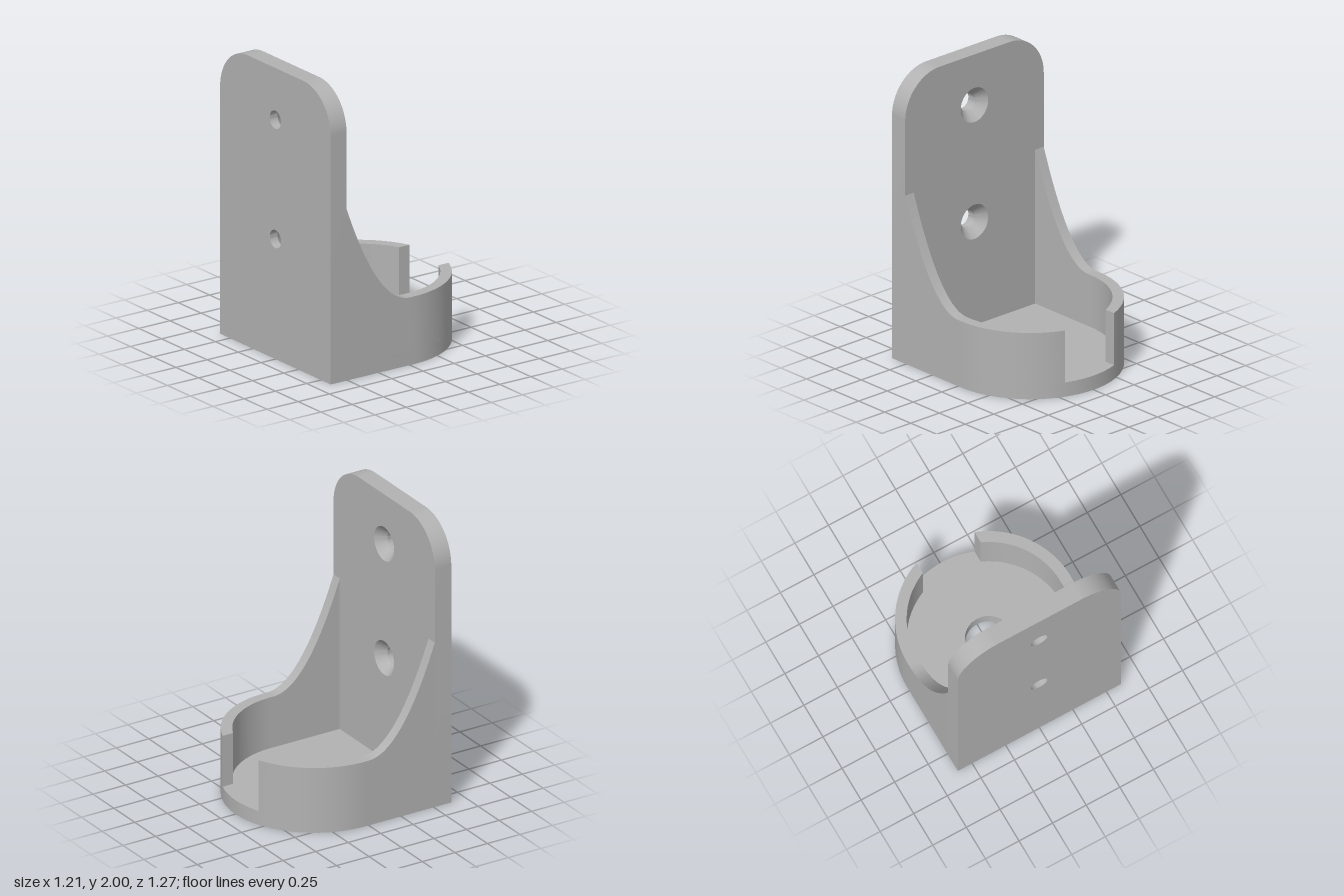
import * as THREE from 'three';
import { toCreasedNormals } from 'three/addons/utils/BufferGeometryUtils.js';

const R = 0.607;          // outer half width and front arc radius
const RI = 0.532;         // inner wall radius
const CZ = -0.028;        // arc centre in z
const PLATE_Z = 0.508;    // inner face of the mounting plate
const PLATE_T = 0.127;    // plate thickness
const FLOOR = 0.1;        // floor thickness
const RIM = 0.465;        // height of the cup wall
const GAP = 0.215;        // half width of the slot in the cup
const SINK = 0.12;        // countersink radius
const BORE = 0.062;       // screw hole radius
const HOLES = [0.825, 1.645];

function circleHole(x, y, r) {
  const p = new THREE.Path();
  p.absarc(x, y, r, 0, Math.PI * 2, true);
  return p;
}

// Upright plate with rounded top corners
function plateGeometry() {
  const c = 0.3, s = new THREE.Shape();
  s.moveTo(-R, 0);
  s.lineTo(R, 0);
  s.lineTo(R, 2 - c);
  s.absarc(R - c, 2 - c, c, 0, Math.PI / 2, false);
  s.lineTo(-R + c, 2);
  s.absarc(-R + c, 2 - c, c, Math.PI / 2, Math.PI, false);
  s.lineTo(-R, 0);
  for (const y of HOLES) s.holes.push(circleHole(0, y, SINK));
  const g = new THREE.ExtrudeGeometry(s, { depth: PLATE_T, bevelEnabled: false, curveSegments: 24 });
  g.translate(0, 0, PLATE_Z);
  return toCreasedNormals(g, 0.5);
}

// Countersunk lining of a screw hole, from the flush outer ring to the cone
function screwHoleGeometry() {
  const pts = [[SINK, PLATE_T], [BORE, PLATE_T], [BORE, 0.065], [SINK, 0]];
  const g = new THREE.LatheGeometry(pts.map(([r, y]) => new THREE.Vector2(r, y)), 48);
  g.rotateX(Math.PI / 2);
  return toCreasedNormals(g, 0.5);
}

// D-shaped floor with a drain hole
function floorGeometry() {
  const s = new THREE.Shape();
  s.moveTo(-R, -PLATE_Z);
  s.lineTo(R, -PLATE_Z);
  s.lineTo(R, -CZ);
  s.absarc(0, -CZ, R, 0, Math.PI, false);
  s.lineTo(-R, -PLATE_Z);
  s.holes.push(circleHole(0, -CZ, 0.155));
  const g = new THREE.ExtrudeGeometry(s, { depth: FLOOR, bevelEnabled: false, curveSegments: 48 });
  g.rotateX(-Math.PI / 2);
  return toCreasedNormals(g, 0.5);
}

// Wall top: level at the cup, sweeping up to meet the plate
function wallTop(z) {
  const t = Math.max(0, z) / PLATE_Z;
  return RIM + 0.715 * t * t;
}

// One side wall, swept from the plate round to the slot
function wallGeometry(side) {
  const sections = [];
  const add = (ox, oz, ix, iz) => sections.push([
    [ox, FLOOR, oz], [ox, wallTop(oz), oz], [ix, wallTop(iz), iz], [ix, FLOOR, iz],
  ]);
  for (let i = 0; i <= 24; i++) {
    const z = PLATE_Z * (1 - i / 24);
    add(R, z, RI, z);
  }
  const ao = Math.acos(GAP / R), ai = Math.acos(GAP / RI);
  for (let i = 0; i <= 32; i++) {
    const o = ao * i / 32, n = ai * i / 32;
    add(R * Math.cos(o), CZ - R * Math.sin(o), RI * Math.cos(n), CZ - RI * Math.sin(n));
  }
  const pos = [];
  const tri = (a, b, c) => {
    for (const p of side > 0 ? [a, b, c] : [a, c, b]) pos.push(p[0] * side, p[1], p[2]);
  };
  for (let i = 0; i < sections.length - 1; i++) {
    const a = sections[i], b = sections[i + 1];
    for (let k = 0; k < 4; k++) {
      const m = (k + 1) % 4;
      tri(a[k], b[k], a[m]);
      tri(b[k], b[m], a[m]);
    }
  }
  const e = sections[sections.length - 1];
  tri(e[0], e[2], e[1]);
  tri(e[0], e[3], e[2]);
  const g = new THREE.BufferGeometry();
  g.setAttribute('position', new THREE.Float32BufferAttribute(pos, 3));
  g.computeVertexNormals();
  return toCreasedNormals(g, 0.5);
}

export function createModel() {
  const grey = new THREE.MeshStandardMaterial({ color: 0xb2b2b2 });
  grey.name = 'grey';
  const group = new THREE.Group();
  group.name = 'wallHolder';
  const add = (name, geometry) => {
    const m = new THREE.Mesh(geometry, grey);
    m.name = name;
    group.add(m);
    return m;
  };
  add('mountingPlate', plateGeometry());
  HOLES.forEach((y, i) => {
    add(i ? 'upperScrewHole' : 'lowerScrewHole', screwHoleGeometry()).position.set(0, y, PLATE_Z);
  });
  add('floor', floorGeometry());
  add('leftWall', wallGeometry(1));
  add('rightWall', wallGeometry(-1));
  return group;
}
